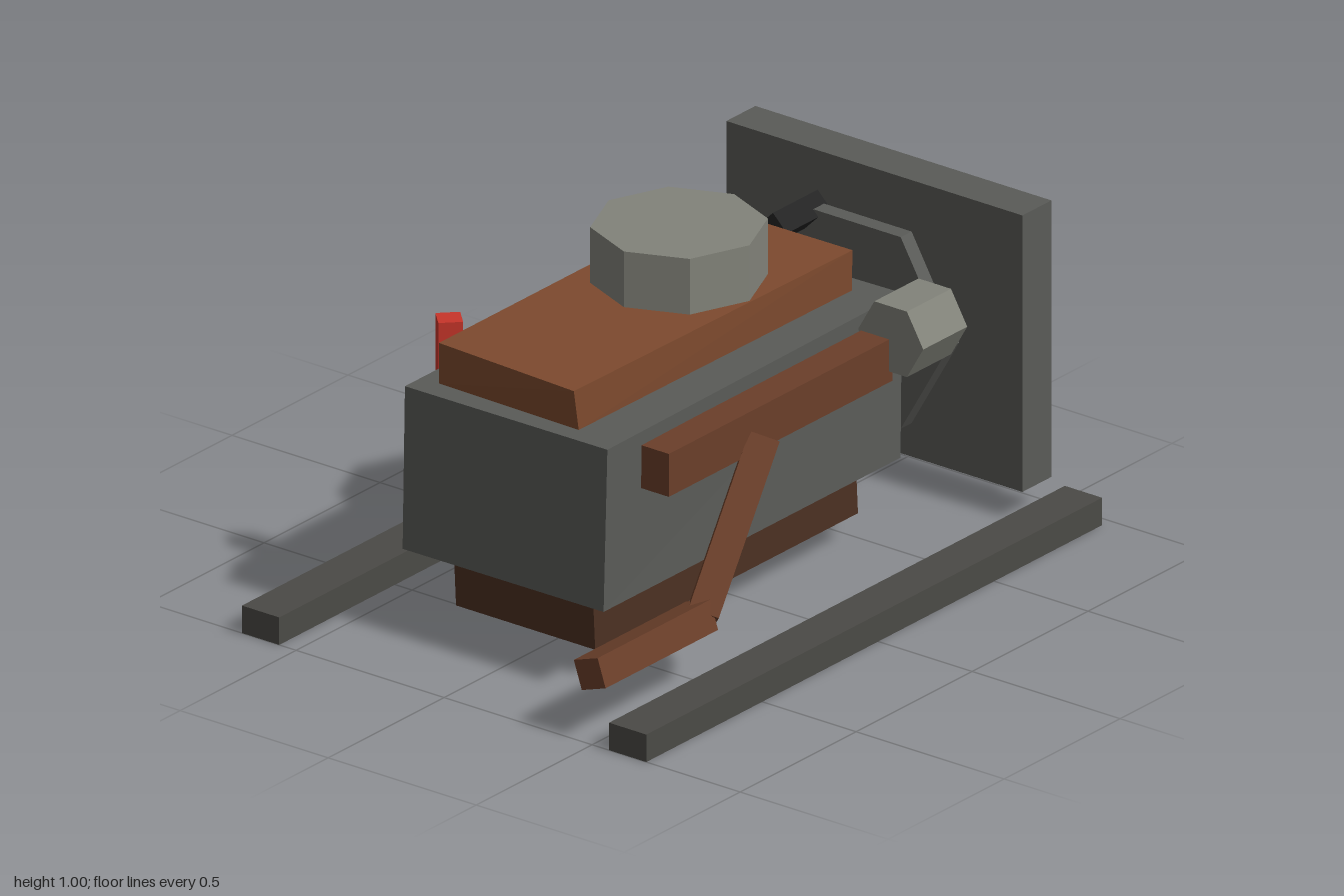
import * as THREE from 'three';

const mats = {};
const mat = (color) => (mats[color] ??= new THREE.MeshStandardMaterial({ color, flatShading: true }));

const STEEL = 0x5a5b58, RAIL = 0x4b4a46, SLAT = 0x454340, RUST = 0x7d4a2e, PIPE = 0x6b3f2a;
const PAN = 0x4c3022, GREY = 0x82837a, BLACK = 0x242424, RED = 0xc8352a;

export function createModel() {
  const model = new THREE.Group();
  model.name = 'engine';

  const add = (name, color, geometry) => {
    const mesh = new THREE.Mesh(geometry, mat(color));
    mesh.name = name;
    model.add(mesh);
    return mesh;
  };

  // Box given by its limits on each axis
  const box = (name, color, [x0, x1], [y0, y1], [z0, z1]) =>
    add(name, color, new THREE.BoxGeometry(x1 - x0, y1 - y0, z1 - z0)
      .translate((x0 + x1) / 2, (y0 + y1) / 2, (z0 + z1) / 2));

  // Slightly skewed box: each quad lists [x, z] for back left, back right, front right, front left
  const skewBox = (name, color, y0, y1, bottom, top) => {
    const g = new THREE.BoxGeometry(1, 1, 1);
    const p = g.attributes.position;
    for (let i = 0; i < p.count; i++) {
      const right = p.getX(i) > 0, front = p.getZ(i) > 0, up = p.getY(i) > 0;
      const [x, z] = (up ? top : bottom)[front ? (right ? 2 : 3) : (right ? 1 : 0)];
      p.setXYZ(i, x, up ? y1 : y0, z);
    }
    g.computeVertexNormals();
    return add(name, color, g);
  };

  // Many-sided rod between two points, turned about its own axis by spin
  const rod = (name, color, from, to, radius, sides, spin = 0) => {
    const a = new THREE.Vector3(...from), b = new THREE.Vector3(...to);
    const dir = b.clone().sub(a);
    const g = new THREE.CylinderGeometry(radius, radius, dir.length(), sides).rotateY(spin);
    const mesh = add(name, color, g);
    mesh.quaternion.setFromUnitVectors(new THREE.Vector3(0, 1, 0), dir.normalize());
    mesh.position.copy(a).add(b).multiplyScalar(0.5);
    return mesh;
  };

  // Mounting rails
  for (const [name, z] of [['leftRail', 0.62], ['rightRail', -0.62]])
    box(name, RAIL, [-1, 0.965], [0, 0.08], [z - 0.063, z + 0.063]);

  // Block, cover and oil pan
  skewBox('engineBlock', STEEL, 0.25, 0.72,
    [[-0.745, -0.34], [0.535, -0.34], [0.54, 0.335], [-0.74, 0.335]],
    [[-0.735, -0.34], [0.54, -0.34], [0.56, 0.325], [-0.73, 0.34]]);
  skewBox('valveCover', RUST, 0.72, 0.838,
    [[-0.665, -0.28], [0.485, -0.28], [0.49, 0.21], [-0.675, 0.2]],
    [[-0.665, -0.28], [0.484, -0.28], [0.49, 0.212], [-0.692, 0.197]]);
  skewBox('oilPan', PAN, 0.084, 0.25,
    [[-0.655, -0.23], [0.478, -0.23], [0.478, 0.24], [-0.655, 0.24]],
    [[-0.665, -0.23], [0.468, -0.23], [0.468, 0.24], [-0.665, 0.24]]);

  // Air filter
  rod('airFilter', GREY, [0.06, 0.838, -0.037], [0.06, 1, -0.037], 0.238, 8);

  // Exhaust manifold and pipe
  box('exhaustManifold', PIPE, [-0.58, 0.385], [0.555, 0.68], [0.335, 0.43]);
  rod('exhaustDownpipe', PIPE, [-0.18, 0.585, 0.435], [-0.5, 0.195, 0.48], 0.06, 4, 0.4);
  rod('exhaustTailpipe', PIPE, [-0.985, 0.195, 0.48], [-0.5, 0.195, 0.48], 0.06, 4, 0.46);

  // Alternator
  rod('alternator', GREY, [0.37, 0.682, 0.435], [0.56, 0.682, 0.435], 0.11, 6);

  // Pulley, fan and hose
  rod('crankPulley', BLACK, [0.54, 0.487, 0], [0.63, 0.487, 0], 0.16, 8);
  rod('fan', STEEL, [0.763, 0.487, 0], [0.81, 0.487, 0], 0.322, 6);
  rod('coolantHose', BLACK, [0.627, 0.748, -0.164], [0.82, 0.748, -0.164], 0.047, 4);

  // Radiator with its slats
  box('radiator', STEEL, [0.855, 0.98], [0.085, 0.89], [-0.5, 0.5]);
  for (let i = 0; i < 4; i++) {
    const y = 0.185 + i * 0.2013;
    box('radiatorSlat', SLAT, [0.97, 1], [y - 0.024, y + 0.024], [-0.453, 0.453]);
  }

  // Red fittings on the back
  rod('dipstick', RED, [-0.503, 0.49, -0.372], [-0.503, 0.83, -0.372], 0.047, 4);
  rod('oilFilter', RED, [-0.342, 0.37, -0.33], [-0.342, 0.37, -0.488], 0.08, 6);

  return model;
}
